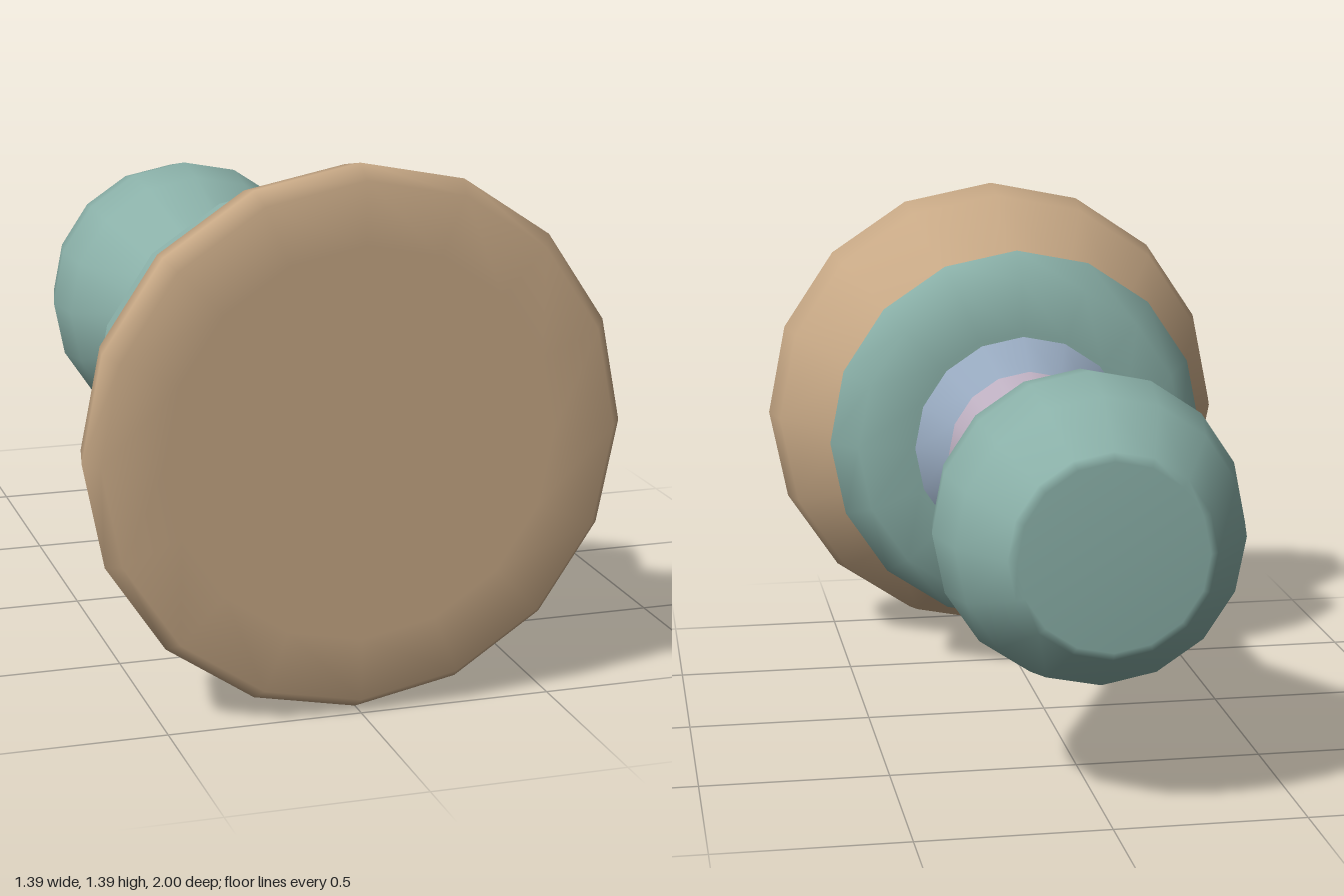
import * as THREE from 'three';

const AXIS_Y = 0.695;
const SIDES = 16;

function material(name, color) {
  const m = new THREE.MeshStandardMaterial({ color });
  m.name = name;
  return m;
}

// Turned part around the z axis; profile is [radius, z] with rising z.
// A repeated point makes a sharp edge.
function turned(name, profile, mat) {
  const points = profile.map(([r, z]) => new THREE.Vector2(r, z));
  const geometry = new THREE.LatheGeometry(points, SIDES);
  geometry.rotateX(Math.PI / 2);
  const mesh = new THREE.Mesh(geometry, mat);
  mesh.name = name;
  mesh.position.y = AXIS_Y;
  return mesh;
}

export function createModel() {
  const tan = material('tan', 0xc8a986);
  const teal = material('teal', 0x8ab0a8);
  const blue = material('slate blue', 0x98aac0);
  const mauve = material('mauve', 0xbcaebf);
  const olive = material('olive green', 0xa8b48e);

  const group = new THREE.Group();
  group.name = 'turnedKnob';
  group.add(
    // Wide base disc with a flat front
    turned('baseDisc', [
      [0, 0.63], [0.5, 0.63], [0.5, 0.63], [0.67, 0.83], [0.695, 0.95],
      [0.66, 1], [0.5, 1], [0, 1],
    ], tan),
    // Thick ring behind the base
    turned('baseRing', [
      [0, 0.34], [0.33, 0.34], [0.48, 0.37], [0.553, 0.455],
      [0.505, 0.635], [0.505, 0.635], [0, 0.635],
    ], teal),
    // Tapering neck pieces
    turned('lowerNeck', [
      [0, 0.235], [0.235, 0.235], [0.235, 0.235], [0.322, 0.345], [0.322, 0.345], [0, 0.345],
    ], blue),
    turned('upperNeck', [
      [0, 0.125], [0.195, 0.125], [0.205, 0.132], [0.235, 0.235], [0.235, 0.235], [0, 0.24],
    ], mauve),
    // Collar between neck and knob
    turned('collar', [
      [0, -0.13], [0.217, -0.13], [0.217, -0.13], [0.21, 0.11], [0.2, 0.125],
      [0.2, 0.125], [0, 0.125],
    ], olive),
    // Pear-shaped knob
    turned('knob', [
      [0, -1], [0.24, -1], [0.262, -0.985], [0.37, -0.84], [0.405, -0.68],
      [0.385, -0.54], [0.22, -0.125], [0.22, -0.125], [0, -0.125],
    ], teal),
  );
  return group;
}
